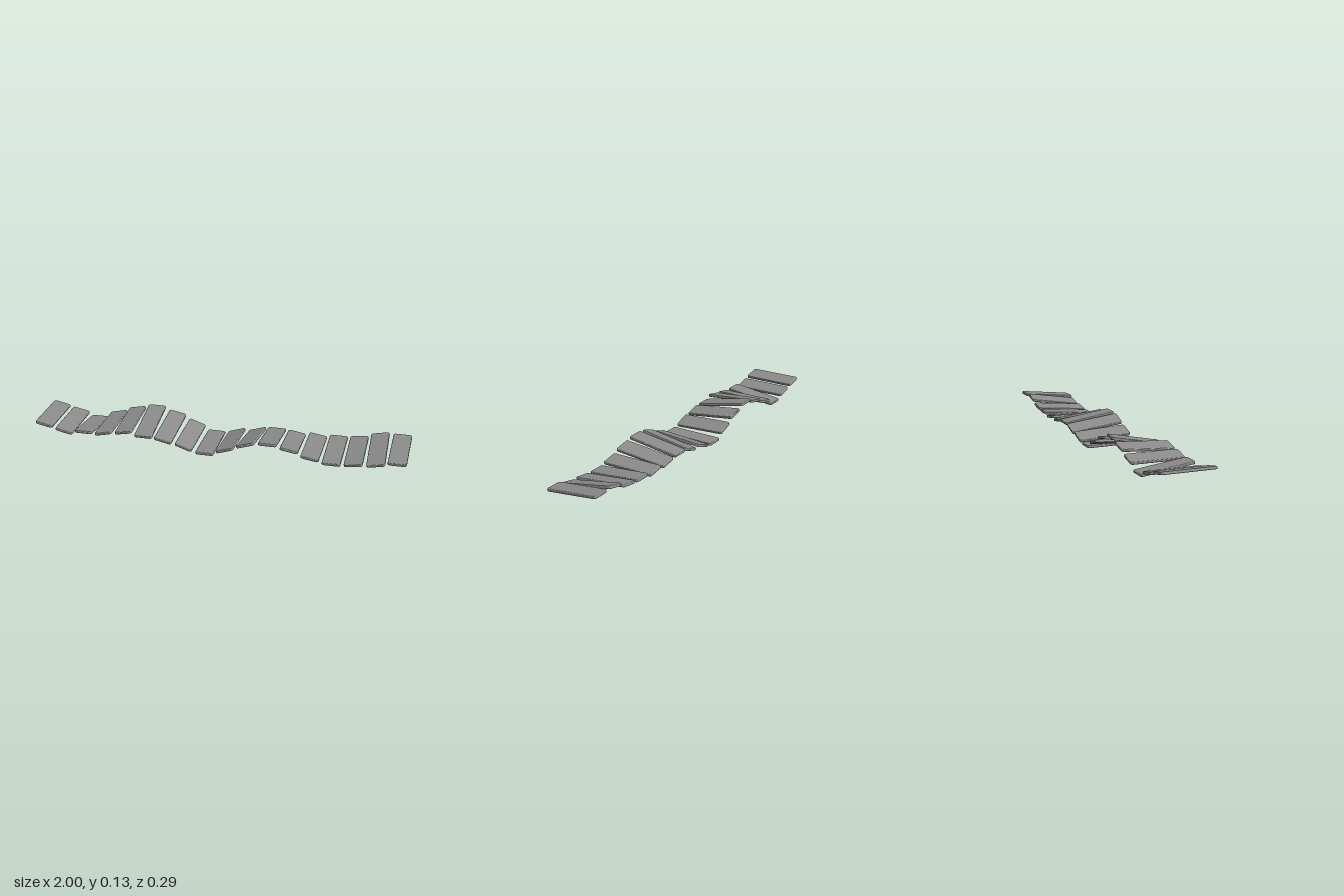
import * as THREE from 'three';

const WIDTH = 0.097, LENGTH = 0.289, THICK = 0.015, BEVEL = 0.004, SPACING = 0.112;

// Each plank, from right to left: [height of centre, roll about z, pitch about x]
const PLANKS = [
  [0.080, -0.20, 0], [0.052, -0.21, 0], [0.041, 0, -0.13],
  [0.064, 0.22, 0], [0.092, 0.20, 0.07], [0.098, 0, 0.20],
  [0.078, -0.21, 0.14], [0.042, -0.33, 0.06], [0.010, 0, -0.01],
  [0.035, 0.32, -0.06], [0.066, 0.31, -0.14], [0.083, 0, -0.14],
  [0.068, -0.17, -0.11], [0.050, -0.16, 0], [0.044, 0, 0.09],
  [0.053, 0.14, 0.10], [0.075, 0.20, 0.17], [0.087, 0, 0.11],
];

// Flat slab with rounded corners and a softened rim, lying in the xz plane
function plankGeometry() {
  const w = WIDTH / 2 - BEVEL, l = LENGTH / 2 - BEVEL, r = 0.008;
  const shape = new THREE.Shape();
  shape.absarc(w - r, l - r, r, 0, Math.PI / 2);
  shape.absarc(-w + r, l - r, r, Math.PI / 2, Math.PI);
  shape.absarc(-w + r, -l + r, r, Math.PI, Math.PI * 1.5);
  shape.absarc(w - r, -l + r, r, Math.PI * 1.5, Math.PI * 2);
  const geometry = new THREE.ExtrudeGeometry(shape, {
    depth: THICK - 2 * BEVEL, bevelThickness: BEVEL, bevelSize: BEVEL,
    bevelSegments: 3, curveSegments: 4,
  });
  geometry.translate(0, 0, BEVEL - THICK / 2);
  geometry.rotateX(-Math.PI / 2);
  return geometry;
}

export function createModel() {
  const group = new THREE.Group();
  group.name = 'plankWalkway';
  const grey = new THREE.MeshStandardMaterial({ color: 0x8c8c8c });
  grey.name = 'grey';
  const geometry = plankGeometry();

  // Row of planks, each rolled along the wave and pitched to front or back
  PLANKS.forEach(([y, roll, pitch], i) => {
    const plank = new THREE.Mesh(geometry, grey);
    plank.name = `plank${i + 1}`;
    plank.position.set((i - (PLANKS.length - 1) / 2) * SPACING, y, 0);
    plank.rotation.set(pitch, 0, roll, 'ZYX');
    group.add(plank);
  });
  return group;
}
